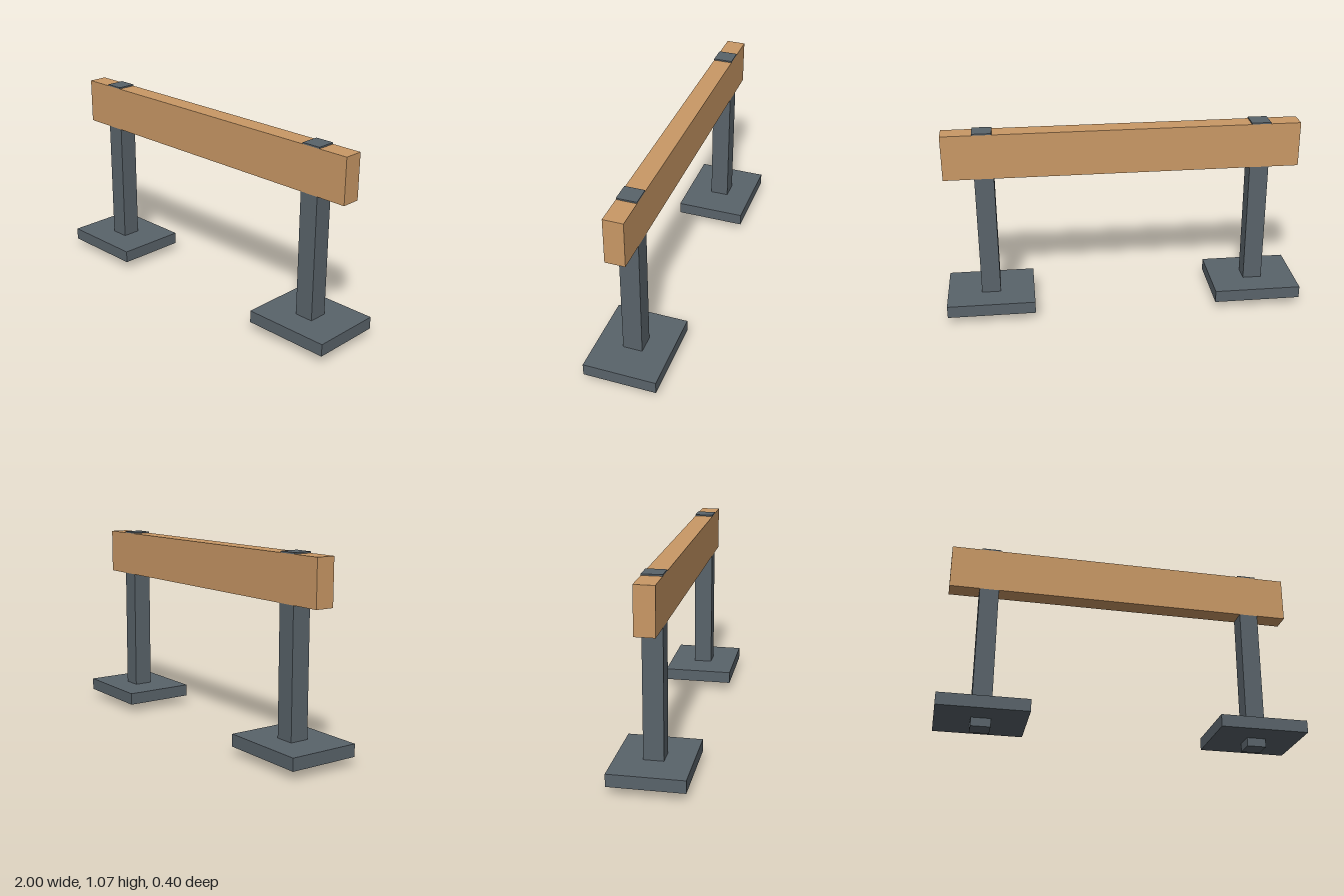
import * as THREE from 'three';

const wood = new THREE.MeshStandardMaterial({ name: 'wood', color: 0xc99865 });
const steel = new THREE.MeshStandardMaterial({ name: 'slateSteel', color: 0x59636a });

// Box spanning y0..y1, centred on x and z = 0
function slab(name, material, width, depth, y0, y1, x = 0) {
  const mesh = new THREE.Mesh(new THREE.BoxGeometry(width, y1 - y0, depth), material);
  mesh.name = name;
  mesh.position.set(x, (y0 + y1) / 2, 0);
  return mesh;
}

export function createModel() {
  const model = new THREE.Group();
  model.name = 'balanceBeam';

  const thick = 0.106; // shared by beam and posts
  const beamBottom = 0.81, beamTop = 1.06;

  // Wooden beam
  model.add(slab('beam', wood, 1.952, thick, beamBottom, beamTop));

  // Mirrored supports: post, foot plate and the post end showing above the beam
  for (const side of [-1, 1]) {
    const support = new THREE.Group();
    support.name = side > 0 ? 'leftSupport' : 'rightSupport';
    support.position.x = side * 0.756;
    support.add(
      slab('post', steel, thick, thick, 0, beamBottom),
      slab('footPlate', steel, 0.488, 0.4, 0.047, 0.115),
      slab('postTop', steel, thick, thick, beamTop, 1.068),
    );
    model.add(support);
  }
  return model;
}
